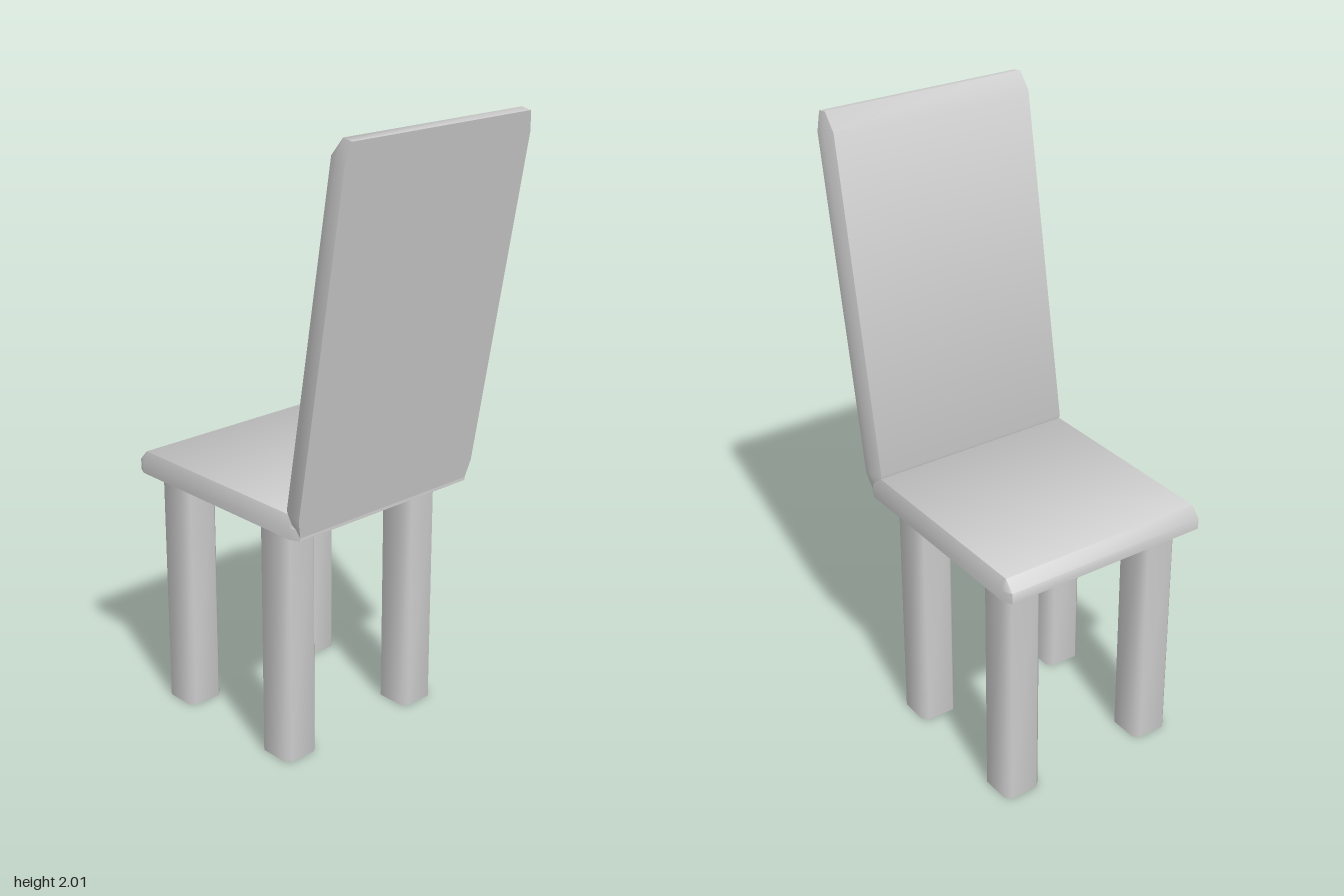
import * as THREE from 'three';
import { toCreasedNormals } from 'three/addons/utils/BufferGeometryUtils.js';

const material = new THREE.MeshStandardMaterial({ color: 0xcccccc });

// Rectangle w by l with its corners cut by cx and cz, at height y
function ring(w, l, cx, cz, y) {
  const x = w / 2, z = l / 2;
  return [
    [x, z - cz], [x, -z + cz], [x - cx, -z], [-x + cx, -z],
    [-x, -z + cz], [-x, z - cz], [-x + cx, z], [x - cx, z],
  ].map(([px, pz]) => new THREE.Vector3(px, y, pz));
}

// Skin a stack of rings from bottom to top and cap both ends
function loft(rings) {
  const points = [];
  const tri = (a, b, c) => {
    const area = b.clone().sub(a).cross(c.clone().sub(a)).length();
    if (area > 1e-9) points.push(a, b, c);
  };
  for (let r = 0; r < rings.length - 1; r++) {
    const lo = rings[r], hi = rings[r + 1];
    for (let i = 0; i < 8; i++) {
      const j = (i + 1) % 8;
      tri(lo[i], lo[j], hi[j]);
      tri(lo[i], hi[j], hi[i]);
    }
  }
  const bottom = rings[0], top = rings[rings.length - 1];
  for (let i = 1; i < 7; i++) {
    tri(bottom[0], bottom[i + 1], bottom[i]);
    tri(top[0], top[i], top[i + 1]);
  }
  return toCreasedNormals(new THREE.BufferGeometry().setFromPoints(points), 1.1);
}

// Board whose upper edges and corners are bevelled by cx and cz
function board(w, l, t, cx, cz) {
  return loft([
    ring(w, l, cx, cz, 0),
    ring(w, l, cx, cz, t / 2),
    ring(w - 2 * cx, l - 2 * cz, 0, 0, t),
  ]);
}

export function createModel() {
  const chair = new THREE.Group();
  chair.name = 'chair';
  const add = (name, geometry, x, y, z) => {
    const mesh = new THREE.Mesh(geometry, material);
    mesh.name = name;
    mesh.position.set(x, y, z);
    chair.add(mesh);
    return mesh;
  };

  // Seat
  add('seat', board(0.73, 0.77, 0.07, 0.015, 0.032), 0, 0.8, -0.104);

  // Backrest, leaning outward with its bevelled face toward the seat
  const rise = 1.19, lean = 0.209;
  const back = add('backrest', board(0.73, Math.hypot(rise, lean), 0.07, 0.015, 0.06), 0, 1.405, 0.386);
  back.rotation.x = -Math.atan2(rise, lean);

  // Four legs with bevelled corners
  const leg = loft([0, 0.805].map((y) => ring(0.13, 0.13, 0.018, 0.018, y)));
  for (const [end, z] of [['back', 0.124], ['front', -0.355]]) {
    add(end + 'LeftLeg', leg, 0.256, 0, z);
    add(end + 'RightLeg', leg, -0.261, 0, z);
  }
  return chair;
}
